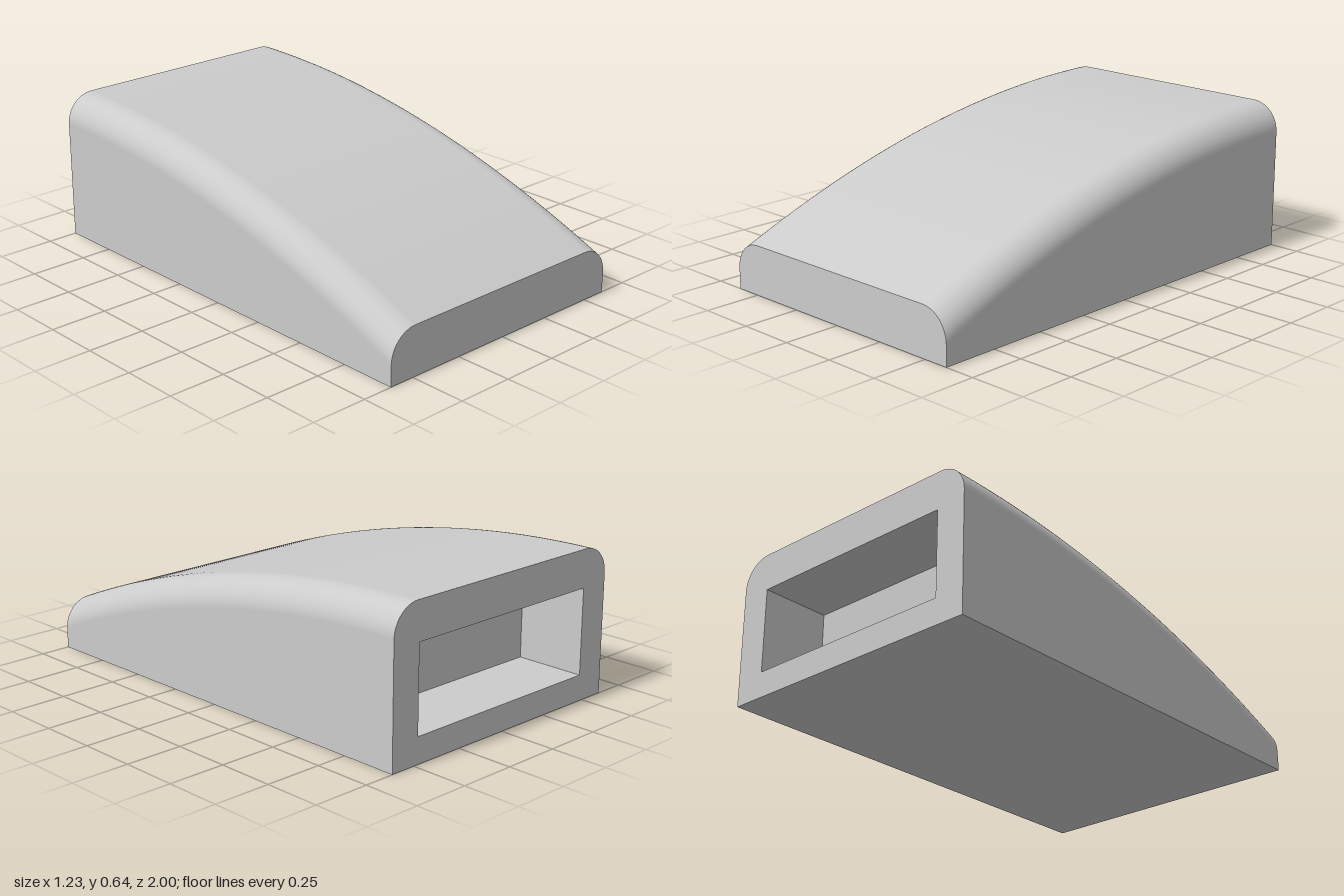
import * as THREE from 'three';

const HALF_W = 0.615, RADIUS = 0.125, HALF_L = 1;
const material = new THREE.MeshStandardMaterial({ color: 0xcccccc });

// Height of the crowned top along the length
const topAt = (z) => 0.643 - 0.107 * (z + 1) ** 2;

// Section outline from the right foot, over the rounded shoulders, to the left foot
function section(z, steps = 12) {
  const h = topAt(z), points = [new THREE.Vector2(HALF_W, 0)];
  for (const [side, start] of [[1, 0], [-1, Math.PI / 2]]) {
    for (let i = 0; i <= steps; i++) {
      const a = start + (i / steps) * Math.PI / 2;
      points.push(new THREE.Vector2(
        side * (HALF_W - RADIUS) + RADIUS * Math.cos(a),
        h - RADIUS + RADIUS * Math.sin(a)));
    }
  }
  points.push(new THREE.Vector2(-HALF_W, 0));
  return points;
}

// Loft the sections from back to front into one smooth skin
function shellGeometry(rows = 40) {
  const positions = [], index = [];
  const n = section(0).length;
  for (let r = 0; r <= rows; r++) {
    const z = -HALF_L + (2 * HALF_L * r) / rows;
    for (const p of section(z)) positions.push(p.x, p.y, z);
  }
  for (let r = 0; r < rows; r++) {
    for (let i = 0; i < n - 1; i++) {
      const a = r * n + i, b = a + 1, c = a + n, d = c + 1;
      index.push(a, b, c, b, d, c);
    }
  }
  const geometry = new THREE.BufferGeometry();
  geometry.setAttribute('position', new THREE.Float32BufferAttribute(positions, 3));
  geometry.setIndex(index);
  geometry.computeVertexNormals();
  return geometry;
}

export function createModel() {
  const group = new THREE.Group();
  group.name = 'wedgeBlock';
  const add = (name, geometry) => {
    const mesh = new THREE.Mesh(geometry, material);
    mesh.name = name;
    group.add(mesh);
    return mesh;
  };

  add('curvedShell', shellGeometry());

  // Flat underside
  add('underside', new THREE.PlaneGeometry(2 * HALF_W, 2 * HALF_L).rotateX(Math.PI / 2));

  // Low front face
  add('frontFace', new THREE.ShapeGeometry(new THREE.Shape(section(HALF_L))))
    .position.z = HALF_L;

  // Tall back face with a rectangular opening
  const pocket = { w: 0.96, y0: 0.112, y1: 0.48, depth: 0.31 };
  const back = new THREE.Shape(section(-HALF_L));
  const hw = pocket.w / 2;
  back.holes.push(new THREE.Path([
    new THREE.Vector2(-hw, pocket.y0), new THREE.Vector2(-hw, pocket.y1),
    new THREE.Vector2(hw, pocket.y1), new THREE.Vector2(hw, pocket.y0),
  ]));
  add('backFace', new THREE.ShapeGeometry(back).rotateY(Math.PI)).position.z = -HALF_L;

  // Recess: a box turned inside out, without its back side
  const recess = new THREE.BoxGeometry(pocket.w, pocket.y1 - pocket.y0, pocket.depth);
  recess.setIndex(Array.from(recess.index.array).slice(0, 30).reverse());
  recess.clearGroups();
  recess.computeVertexNormals();
  add('backRecess', recess)
    .position.set(0, (pocket.y0 + pocket.y1) / 2, -HALF_L + pocket.depth / 2);

  return group;
}
